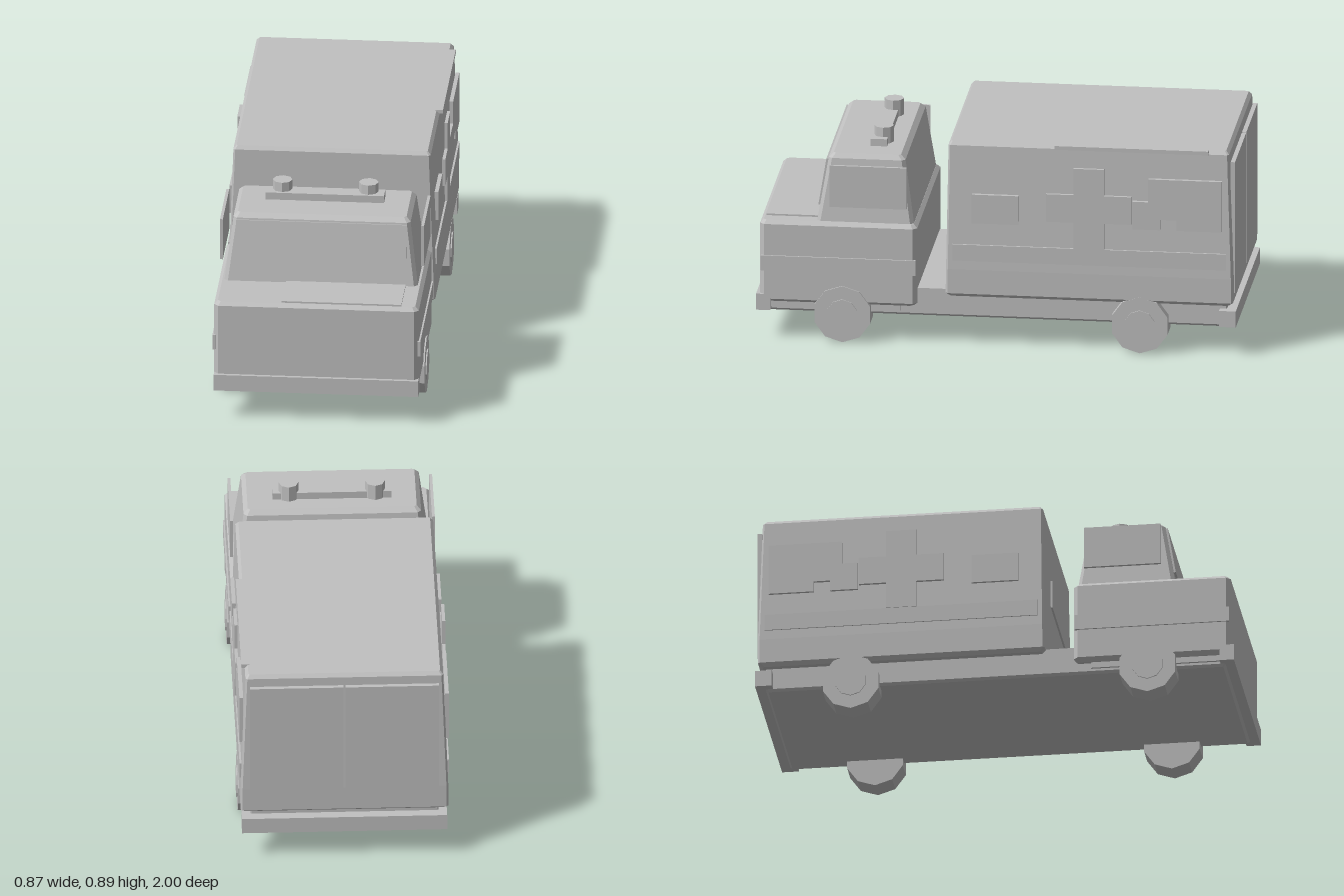
import * as THREE from 'three';

const paint = new THREE.MeshStandardMaterial({ name: 'grey paint', color: 0xc0c0c0, flatShading: true });

// Body shell lofted through [y, halfWidth, zBack, zFront, cornerChamfer] levels
function loft(levels) {
  const rings = levels.map(([y, w, b, f, c]) => [
    [-w + c, y, f], [w - c, y, f], [w, y, f - c], [w, y, b + c],
    [w - c, y, b], [-w + c, y, b], [-w, y, b + c], [-w, y, f - c],
  ]);
  const pos = [];
  const tri = (...corners) => corners.forEach((p) => pos.push(...p));
  for (let k = 0; k < rings.length - 1; k++) {
    const lo = rings[k], hi = rings[k + 1];
    for (let i = 0; i < 8; i++) {
      const j = (i + 1) % 8;
      tri(lo[i], lo[j], hi[j]);
      tri(lo[i], hi[j], hi[i]);
    }
  }
  const bottom = rings[0], top = rings[rings.length - 1];
  for (let i = 1; i < 7; i++) {
    tri(top[0], top[i], top[i + 1]);
    tri(bottom[0], bottom[i + 1], bottom[i]);
  }
  const g = new THREE.BufferGeometry();
  g.setAttribute('position', new THREE.Float32BufferAttribute(pos, 3));
  g.computeVertexNormals();
  return g;
}

export function createModel() {
  const model = new THREE.Group();
  model.name = 'ambulance';

  const add = (name, geometry) => {
    const mesh = new THREE.Mesh(geometry, paint);
    mesh.name = name;
    model.add(mesh);
    return mesh;
  };
  // Box given by its limits on each axis
  const block = (name, x0, x1, y0, y1, z0, z1) => add(name,
    new THREE.BoxGeometry(x1 - x0, y1 - y0, z1 - z0)
      .translate((x0 + x1) / 2, (y0 + y1) / 2, (z0 + z1) / 2));
  // Upright side plate, outlined by [z, y] points, on both sides
  const sidePlates = (name, inner, outer, points) => {
    const shape = new THREE.Shape(points.map(([z, y]) => new THREE.Vector2(-z, y)));
    for (const [side, x] of [['left', inner], ['right', -outer]]) {
      const g = new THREE.ExtrudeGeometry(shape, { depth: outer - inner, bevelEnabled: false });
      add(side + name, g.rotateY(Math.PI / 2).translate(x, 0, 0));
    }
  };
  const rect = (z0, z1, y0, y1) => [[z0, y0], [z1, y0], [z1, y1], [z0, y1]];

  // Chassis and bumpers
  add('chassis', loft([
    [0.11, 0.38, -0.95, 0.95, 0.005],
    [0.12, 0.39, -0.96, 0.96, 0.005],
    [0.23, 0.39, -0.96, 0.96, 0.005],
  ]));
  block('frontBumper', -0.425, 0.425, 0.12, 0.19, 0.94, 1);
  block('rearBumper', -0.425, 0.425, 0.12, 0.19, -1, -0.93);

  // Cab: lower body with bonnet, then the tapered cabin
  add('lowerCab', loft([
    [0.155, 0.405, 0.345, 0.97, 0.015],
    [0.17, 0.425, 0.33, 0.985, 0.018],
    [0.495, 0.425, 0.33, 0.985, 0.018],
    [0.51, 0.41, 0.345, 0.97, 0.012],
  ]));
  add('cabin', loft([
    [0.505, 0.402, 0.345, 0.75, 0.015],
    [0.775, 0.368, 0.385, 0.705, 0.015],
    [0.793, 0.35, 0.405, 0.685, 0.01],
  ]));
  block('bonnetPanel', -0.145, 0.352, 0.508, 0.517, 0.75, 0.965);
  sidePlates('CabStripe', 0.42, 0.432, rect(0.335, 0.98, 0.295, 0.36));
  sidePlates('Sill', 0.385, 0.4, rect(0.4, 0.95, 0.13, 0.165));
  sidePlates('CabWindow', 0.412, 0.424, rect(0.373, 0.693, 0.58, 0.76));
  const windscreen = add('windscreen', new THREE.BoxGeometry(0.71, 0.205, 0.009));
  windscreen.position.set(0, 0.667, 0.727);
  windscreen.rotation.x = -Math.atan(0.045 / 0.27);

  // Light bar and two beacons
  block('lightBar', -0.248, 0.245, 0.79, 0.824, 0.475, 0.545);
  for (const x of [-0.18, 0.178]) {
    add('beacon', new THREE.CylinderGeometry(0.041, 0.041, 0.07, 8).translate(x, 0.83, 0.495));
  }

  // Rear body
  add('rearBody', loft([
    [0.21, 0.415, -0.97, 0.195, 0.008],
    [0.225, 0.43, -0.988, 0.21, 0.008],
    [0.33, 0.43, -0.988, 0.208, 0.008],
    [0.865, 0.41, -0.97, 0.2, 0.008],
    [0.88, 0.397, -0.957, 0.188, 0.005],
  ]));
  block('bulkheadWindow', -0.2, 0.2, 0.51, 0.63, 0.2, 0.213);
  block('awning', 0.39, 0.424, 0.866, 0.882, -0.885, -0.245);

  // Rear doors, with a narrow gap between them
  for (const s of [-1, 1]) {
    const a = s * 0.004, b = s * 0.392;
    block('rearDoor', Math.min(a, b), Math.max(a, b), 0.26, 0.83, -0.993, -0.975);
  }

  // Raised side markings: stripe, window, cross and stepped panel
  sidePlates('BodyStripe', 0.422, 0.434, rect(-0.96, 0.18, 0.37, 0.44));
  sidePlates('BodyWindow', 0.418, 0.434, rect(-0.095, 0.1, 0.535, 0.66));
  sidePlates('Cross', 0.424, 0.437, [
    [-0.325, 0.44], [-0.325, 0.555], [-0.21, 0.555], [-0.21, 0.675], [-0.325, 0.675], [-0.325, 0.79],
    [-0.452, 0.79], [-0.452, 0.675], [-0.565, 0.675], [-0.565, 0.555], [-0.452, 0.555], [-0.452, 0.44],
  ]);
  sidePlates('SteppedPanel', 0.418, 0.434, [
    [-0.57, 0.535], [-0.57, 0.655], [-0.636, 0.655], [-0.636, 0.755], [-0.942, 0.755],
    [-0.942, 0.535], [-0.754, 0.535], [-0.754, 0.58], [-0.685, 0.58], [-0.685, 0.535],
  ]);

  // Ten-sided wheels with small hubs, a flat resting on the ground
  const r = 0.122, axle = r * Math.cos(Math.PI / 10);
  const disc = (radius, width) => new THREE.CylinderGeometry(radius, radius, width, 10)
    .rotateY(Math.PI / 2).rotateZ(Math.PI / 2);
  for (const s of [-1, 1]) {
    for (const [end, z] of [['front', 0.64], ['rear', -0.6]]) {
      add(end + 'Wheel', disc(r, 0.098)).position.set(s * 0.382, axle, z);
      add(end + 'Hub', disc(0.065, 0.01)).position.set(s * 0.431, axle, z);
    }
  }
  return model;
}
